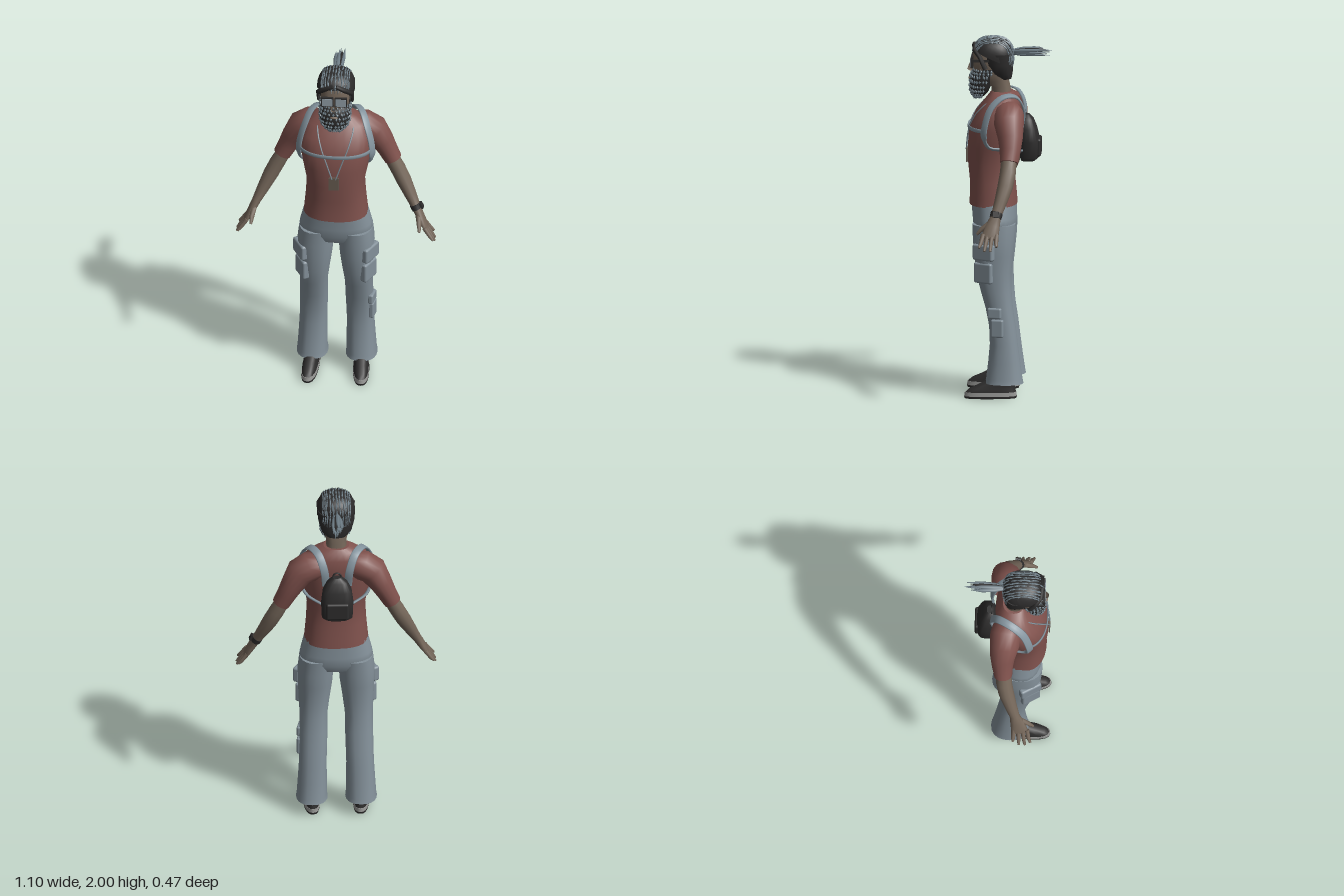
import * as THREE from 'three';
import { mergeGeometries } from 'three/addons/utils/BufferGeometryUtils.js';
import { RoundedBoxGeometry } from 'three/addons/geometries/RoundedBoxGeometry.js';

const V = (x, y, z) => new THREE.Vector3(x, y, z);
const UP = V(0, 1, 0), FRONT = V(0, 0, 1);

// point on a unit superellipse
const se = (a, n) => [Math.cos(a), Math.sin(a)].map(k => Math.sign(k) * Math.abs(k) ** (2 / n));

// skin over cross-sections [x, y, z, ru, rv]; axis fixes the section plane, ref gives the v direction
function loft(secs, { axis = null, ref = FRONT, sides = 16, n = 2 } = {}) {
  const P = secs.map(s => V(s[0], s[1], s[2])), pos = [], idx = [];
  const rings = secs.map((s, i) => {
    const t = axis ? axis.clone() : P[Math.min(i + 1, P.length - 1)].clone().sub(P[Math.max(i - 1, 0)]).normalize();
    const v = (typeof ref === 'function' ? ref(P[i]) : ref.clone());
    v.addScaledVector(t, -v.dot(t)).normalize();
    const u = t.clone().cross(v);
    return Array.from({ length: sides }, (_, k) => {
      const [c, d] = se(k / sides * Math.PI * 2, n);
      return P[i].clone().addScaledVector(u, c * s[3]).addScaledVector(v, d * s[4]);
    });
  });
  rings.forEach(r => r.forEach(p => pos.push(p.x, p.y, p.z)));
  for (let i = 0; i < rings.length - 1; i++) for (let k = 0; k < sides; k++) {
    const a = i * sides + k, b = i * sides + (k + 1) % sides;
    idx.push(a, a + sides, b, b, a + sides, b + sides);
  }
  [0, rings.length - 1].forEach((i, end) => {
    const base = pos.length / 3;
    [...rings[i], P[i]].forEach(p => pos.push(p.x, p.y, p.z));
    for (let k = 0; k < sides; k++) {
      const a = base + k, b = base + (k + 1) % sides;
      idx.push(base + sides, end ? b : a, end ? a : b);
    }
  });
  const g = new THREE.BufferGeometry();
  g.setAttribute('position', new THREE.Float32BufferAttribute(pos, 3));
  g.setIndex(idx);
  g.computeVertexNormals();
  return g;
}

// stacked horizontal sections [y, xc, rx, zc, rz]
const stack = (rows, n = 2.3, sides = 20) =>
  loft(rows.map(([y, x, rx, z, rz]) => [x, y, z, rx, rz]), { axis: UP, n, sides });

// pointed tuft of hair
function tuft(p, dir, len, w) {
  const g = new THREE.OctahedronGeometry(1).scale(w, len / 2, w);
  g.applyQuaternion(new THREE.Quaternion().setFromUnitVectors(UP, dir.clone().normalize()));
  return g.translate(p.x, p.y, p.z);
}

// rounded-square skull surface for the hair
function skull(d) {
  const q = 2.5, l = (Math.abs(d.x) ** q + Math.abs(d.y) ** q + Math.abs(d.z) ** q) ** (1 / q);
  return V(d.x / l * 0.104, 1.885 + d.y / l * 0.11, 0.088 + d.z / l * 0.113);
}

export function createModel() {
  const model = new THREE.Group();
  const M = {};
  const colours = {
    shirt: 0x80524d, trousers: 0x84919a, skin: 0x75675a, black: 0x2d2c2c, greyHair: 0x6f7e87,
    strap: 0x82929c, lens: 0x919da6, sole: 0x9a9a98, tag: 0x665a50,
  };
  for (const [name, color] of Object.entries(colours)) {
    M[name] = new THREE.MeshStandardMaterial({ color });
    M[name].name = name;
  }
  let seed = 7;
  const rnd = () => (seed = (seed * 16807) % 2147483647) / 2147483647;
  const add = (name, geo, mat, p = [0, 0, 0]) => {
    const m = new THREE.Mesh(geo, M[mat]);
    m.name = name;
    m.position.set(...p);
    model.add(m);
    return m;
  };
  const box = (w, h, d) => new THREE.BoxGeometry(w, h, d);

  // torso and hips
  add('shirtBody', stack([
    [1.07, 0, 0.177, 0.085, 0.132], [1.12, 0, 0.172, 0.086, 0.129], [1.2, 0, 0.165, 0.09, 0.125],
    [1.3, 0, 0.16, 0.097, 0.128], [1.4, 0, 0.18, 0.09, 0.135], [1.5, 0, 0.198, 0.08, 0.14],
    [1.58, 0, 0.195, 0.06, 0.124], [1.64, 0, 0.165, 0.038, 0.098], [1.675, 0, 0.115, 0.035, 0.074],
    [1.695, 0, 0.07, 0.036, 0.06]], 2.3, 28), 'shirt');
  add('hips', stack([[0.905, 0, 0.17, 0.077, 0.1], [0.95, 0, 0.204, 0.076, 0.12],
    [1.0, 0, 0.197, 0.078, 0.122], [1.09, 0, 0.174, 0.083, 0.125]], 2.3, 24), 'trousers');

  for (const s of [1, -1]) {
    const side = s > 0 ? 'left' : 'right';
    const mx = rows => rows.map(r => [r[0] * s, ...r.slice(1)]);

    // sleeve, arm and hand
    add(side + 'Sleeve', loft(mx([[0.1, 1.59, 0, 0.07, 0.075], [0.145, 1.582, -0.005, 0.084, 0.085],
      [0.2, 1.55, -0.01, 0.08, 0.082], [0.245, 1.475, -0.02, 0.063, 0.068], [0.275, 1.415, -0.02, 0.054, 0.058],
      [0.305, 1.355, -0.016, 0.049, 0.05]])), 'shirt');
    add(side + 'Arm', loft(mx([[0.285, 1.385, -0.015, 0.04, 0.042], [0.33, 1.3, -0.01, 0.043, 0.044],
      [0.365, 1.23, 0.003, 0.042, 0.043], [0.405, 1.15, 0.027, 0.034, 0.035], [0.44, 1.08, 0.05, 0.025, 0.028],
      [0.465, 1.03, 0.067, 0.021, 0.04], [0.495, 0.975, 0.08, 0.014, 0.047], [0.5, 0.965, 0.081, 0.008, 0.04]]),
    { sides: 12 }), 'skin');
    [[0.118, 0.138, 0.925], [0.094, 0.108, 0.907], [0.07, 0.076, 0.907], [0.046, 0.042, 0.93]].forEach(([z0, z1, y], i) =>
      add(side + 'Finger' + (i + 1), loft(mx([[0.488, 0.99, z0, 0.012, 0.013], [0.52, 0.945, (z0 + z1) / 2, 0.011, 0.011],
        [0.545 - (y - 0.907) * 0.4, y, z1, 0.006, 0.007]]), { sides: 8 }), 'skin'));
    add(side + 'Thumb', loft(mx([[0.452, 1.05, 0.08, 0.014, 0.016], [0.46, 1.015, 0.125, 0.013, 0.013],
      [0.463, 0.985, 0.153, 0.007, 0.007]]), { ref: V(1, 0, 0), sides: 8 }), 'skin');

    // trouser leg
    add(side + 'TrouserLeg', stack([[0.085, 0.135, 0.087, 0.019, 0.105], [0.11, 0.135, 0.083, 0.019, 0.1],
      [0.2, 0.132, 0.08, 0.02, 0.088], [0.3, 0.13, 0.076, 0.022, 0.077], [0.4, 0.127, 0.076, 0.03, 0.073],
      [0.5, 0.125, 0.077, 0.047, 0.075], [0.6, 0.124, 0.077, 0.065, 0.085], [0.7, 0.12, 0.086, 0.079, 0.097],
      [0.8, 0.115, 0.095, 0.078, 0.107], [0.88, 0.113, 0.099, 0.078, 0.115], [0.97, 0.105, 0.097, 0.077, 0.119],
    ].map(([y, x, ...r]) => [y, x * s, ...r])), 'trousers');

    // cargo pocket and its flap
    [['PocketFlap', 0.825, 0.09, 0.126, 0.192], ['Pocket', 0.708, 0.115, 0.112, 0.182]].forEach(([n, y, h, w, x]) => {
      add(side + n, new RoundedBoxGeometry(0.04, h, w, 2, 0.012), 'trousers', [x * s, y, 0.13]).rotation.y = -s * 0.5;
    });

    // shoe
    const shoe = new THREE.Group();
    shoe.name = side + 'Shoe';
    [['outsole', 'black', [[0, 0, 0.043, 0.095, 0.142], [0.012, 0, 0.045, 0.095, 0.145]]],
      ['midsole', 'sole', [[0.012, 0, 0.044, 0.095, 0.144], [0.034, 0, 0.043, 0.094, 0.142]]],
      ['shoeUpper', 'black', [[0.034, 0, 0.042, 0.094, 0.139], [0.055, 0, 0.041, 0.085, 0.125],
        [0.075, 0, 0.037, 0.063, 0.1], [0.12, 0, 0.036, 0.02, 0.06]]],
    ].forEach(([n, mat, rows]) => {
      const m = add(n, stack(rows, 2.5), mat);
      shoe.add(m);
    });
    shoe.position.x = 0.132 * s;
    shoe.rotation.y = 0.07 * s;
    model.add(shoe);

    // shoulder strap, running over the shoulder and under the arm to the pack
    const path = [[0.06, 1.5, -0.075], [0.07, 1.6, -0.085], [0.1, 1.678, -0.045], [0.14, 1.685, 0.025], [0.172, 1.63, 0.09],
      [0.198, 1.54, 0.122], [0.202, 1.47, 0.128], [0.186, 1.41, 0.1], [0.163, 1.395, 0], [0.07, 1.37, -0.075]];
    const pts = new THREE.CatmullRomCurve3(path.map(p => V(p[0] * s, p[1], p[2]))).getPoints(36);
    const heart = V(0.08 * s, 1.52, 0.02);
    add(side + 'PackStrap', loft(pts.map((p, i) => [p.x, p.y, p.z, i < 25 ? 0.022 : 0.012, 0.006]),
      { ref: p => p.clone().sub(heart), sides: 8, n: 4 }), 'strap');

    // lanyard cord
    add(side + 'Cord', new THREE.TubeGeometry(new THREE.CatmullRomCurve3([V(0.09 * s, 1.675, 0.06), V(0.098 * s, 1.63, 0.13),
      V(0.075 * s, 1.55, 0.196), V(0.045 * s, 1.47, 0.222), V(0.01 * s, 1.365, 0.234)]), 16, 0.004, 5), 'strap');

    // glasses
    add(side + 'GlassesFrame', box(0.068, 0.058, 0.012), 'black', [0.037 * s, 1.862, 0.201]);
    add(side + 'Lens', box(0.058, 0.046, 0.006), 'lens', [0.037 * s, 1.861, 0.207]);
    add(side + 'Temple', box(0.008, 0.014, 0.13), 'black', [0.086 * s, 1.875, 0.138]);
  }

  // shin pocket on the left leg only
  add('shinPocketFlap', new RoundedBoxGeometry(0.03, 0.06, 0.078, 2, 0.01), 'trousers', [0.197, 0.485, 0.07]).rotation.y = -0.2;
  add('shinPocket', new RoundedBoxGeometry(0.03, 0.1, 0.07, 2, 0.01), 'trousers', [0.198, 0.4, 0.055]).rotation.y = -0.2;

  // wristwatch
  add('watchBand', loft([[0.43, 1.1, 0.045, 0.031, 0.034], [0.443, 1.074, 0.052, 0.029, 0.033]], { sides: 12 }), 'black');
  add('watchFace', box(0.012, 0.032, 0.032), 'black', [0.467, 1.098, 0.049]).rotation.z = 0.45;

  // chest strap and hanging tag
  add('chestStrap', loft(Array.from({ length: 21 }, (_, i) => {
    const [c, d] = se(0.3 + i / 20 * (Math.PI - 0.6), 2.3);
    return [c * 0.203, 1.503, 0.08 + d * 0.143, 0.011, 0.004];
  }), { ref: p => V(p.x, 0, p.z - 0.08), sides: 8, n: 4 }), 'strap');
  add('tag', box(0.055, 0.08, 0.009), 'tag', [0, 1.335, 0.231]);

  // backpack
  add('packBody', stack([[1.31, 0, 0.065, -0.105, 0.04], [1.33, 0, 0.085, -0.113, 0.054], [1.42, 0, 0.089, -0.114, 0.056],
    [1.49, 0, 0.08, -0.106, 0.047], [1.54, 0, 0.055, -0.098, 0.036], [1.565, 0, 0.022, -0.094, 0.018]], 3), 'black');
  add('packPocket', new RoundedBoxGeometry(0.125, 0.1, 0.03, 2, 0.012), 'black', [0, 1.385, -0.163]);
  add('packHandle', new THREE.TorusGeometry(0.022, 0.005, 6, 14), 'black', [0, 1.562, -0.085]);

  // head, neck and nose
  add('head', stack([[1.62, 0, 0.06, 0.038, 0.055], [1.72, 0, 0.055, 0.045, 0.052], [1.755, 0, 0.064, 0.075, 0.075],
    [1.79, 0, 0.077, 0.098, 0.094], [1.84, 0, 0.084, 0.1, 0.098], [1.9, 0, 0.088, 0.096, 0.102],
    [1.95, 0, 0.075, 0.09, 0.09]], 2.4), 'skin');
  add('nose', loft([[0, 1.88, 0.19, 0.009, 0.01], [0, 1.835, 0.208, 0.013, 0.014], [0, 1.812, 0.212, 0.018, 0.018],
    [0, 1.802, 0.2, 0.012, 0.012]], { axis: UP, sides: 8 }), 'skin');

  // hair: tilted cap, nape and side hair
  const cap = new THREE.SphereGeometry(1, 28, 12, 0, Math.PI * 2, 0, Math.PI / 2).rotateX(-0.42);
  const cp = cap.attributes.position;
  for (let i = 0; i < cp.count; i++) cp.setXYZ(i, ...skull(V(cp.getX(i), cp.getY(i), cp.getZ(i))).toArray());
  cap.computeVertexNormals();
  add('hairCap', cap, 'black').material.side = THREE.DoubleSide;
  add('hairBack', stack([[1.765, 0, 0.055, 0.028, 0.042], [1.8, 0, 0.085, 0.042, 0.062], [1.85, 0, 0.1, 0.056, 0.079],
    [1.91, 0, 0.103, 0.064, 0.088]], 2.5), 'black');
  for (const s of [1, -1]) {
    add('forelock', loft([[0.01 * s, 1.955, 0.19, 0.01, 0.012], [0.06 * s, 1.93, 0.187, 0.016, 0.012],
      [0.09 * s, 1.895, 0.155, 0.016, 0.012], [0.094 * s, 1.83, 0.125, 0.008, 0.014]], { sides: 8 }), 'black');
  }

  // grey streaks along the hair
  const streaks = [];
  for (let i = -5; i <= 5; i++) for (let a = 0.5; a < 3.5; a += 0.3) {
    const th = a + rnd() * 0.2, x = i * 0.17 + (rnd() - 0.5) * 0.06;
    const at = t => skull(V(x, Math.sin(t), Math.cos(t)));
    const p = at(th);
    streaks.push(tuft(p, at(th + 0.08).sub(at(th - 0.08)), 0.045 + rnd() * 0.02, 0.0055));
  }
  add('hairStreaks', mergeGeometries(streaks), 'greyHair');

  // ponytail of pointed locks
  for (let i = 0; i < 11; i++) {
    const a = i * 2.4, r = Math.sqrt(i / 11), tip = -0.235 + 0.075 * r * rnd();
    const x = Math.cos(a) * r * 0.026, y = Math.sin(a) * r * 0.022;
    add('ponytailLock', loft([[x * 0.2, 1.912 + y * 0.3, -0.01, 0.009, 0.009], [x * 0.7, 1.915 + y * 0.8, -0.07, 0.013, 0.011],
      [x, 1.918 + y, -0.14, 0.011, 0.009], [x * 1.1, 1.918 + y * 1.2, tip, 0.001, 0.001]], { ref: UP, sides: 6 }),
    i % 4 === 3 ? 'black' : 'greyHair');
  }

  // beard with rows of grey curls
  const beard = [[1.665, 0, 0.04, 0.165, 0.03], [1.69, 0, 0.07, 0.163, 0.05], [1.73, 0, 0.084, 0.156, 0.06],
    [1.775, 0, 0.086, 0.145, 0.069], [1.805, 0, 0.085, 0.125, 0.078], [1.825, 0, 0.083, 0.1, 0.08]];
  add('beard', stack(beard, 2.2), 'black');
  const curls = [];
  for (let j = 0; j < 8; j++) {
    const f = j / 7 * 4.4, k = Math.floor(f), row = beard[k].map((v, c) => v + (beard[k + 1][c] - v) * (f - k));
    for (let i = 0; i < 17; i++) {
      const a = -0.45 + (i + (j % 2) / 2 + rnd() * 0.4) / 17 * 4.04, [c, d] = se(a, 2.2);
      curls.push(tuft(V(c * row[2], row[0], row[3] + d * row[4]), V((rnd() - 0.5) * 0.9, 1, (rnd() - 0.5) * 0.5), 0.026, 0.008));
    }
  }
  add('beardCurls', mergeGeometries(curls), 'greyHair');
  add('lips', new THREE.SphereGeometry(1, 12, 8).scale(0.022, 0.007, 0.01), 'skin', [0, 1.765, 0.214]);

  return model;
}
